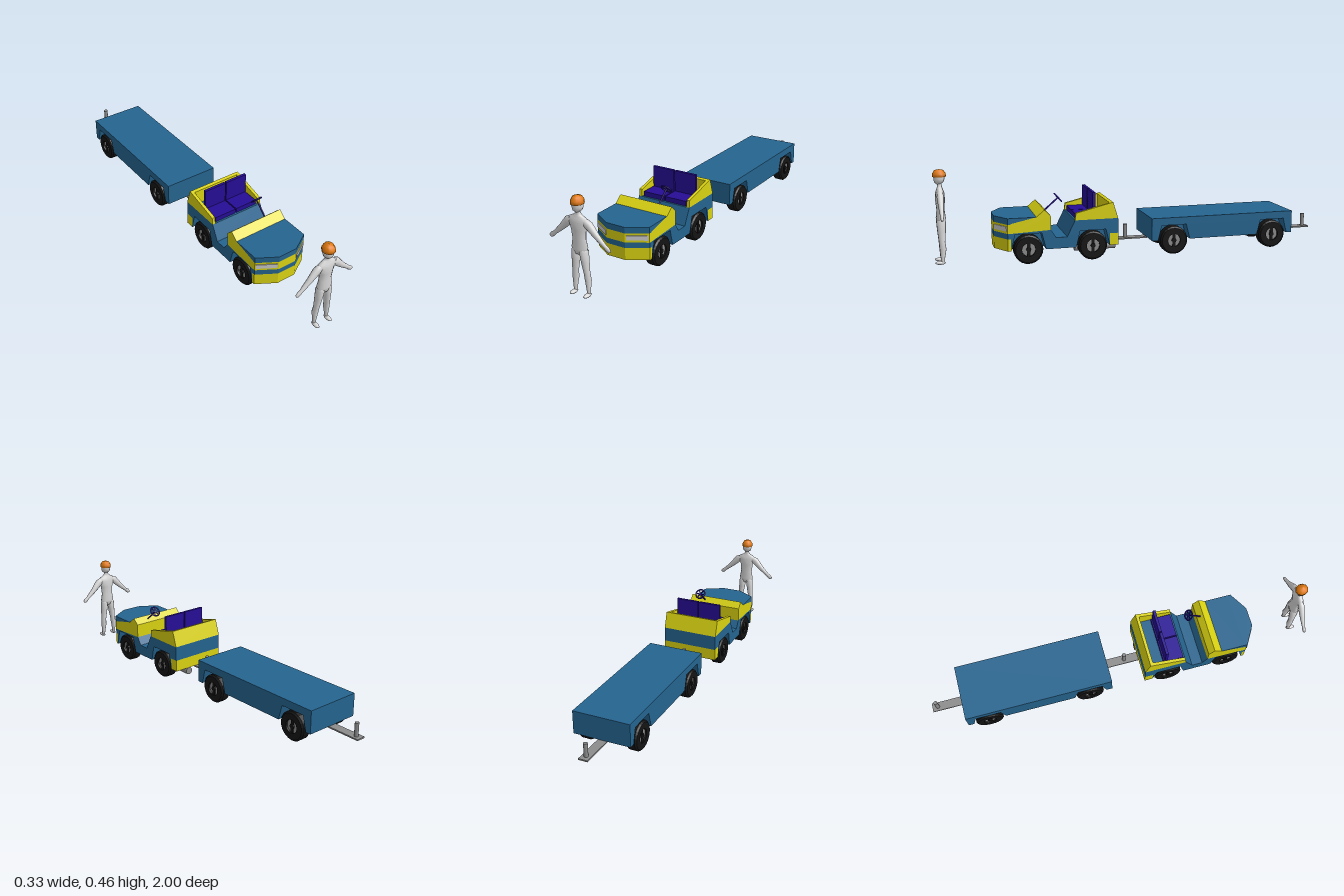
import * as THREE from 'three';

const material = (name, color, extra = {}) => {
  const m = new THREE.MeshStandardMaterial({ color, ...extra });
  m.name = name;
  return m;
};

export function createModel() {
  const model = new THREE.Group();
  model.name = 'towTractorWithTrailer';
  const yellow = material('yellow paint', 0xd9d212);
  const blue = material('blue paint', 0x25648f);
  const purple = material('purple trim', 0x260d96);
  const black = material('black rubber', 0x141414);
  const grey = material('grey metal', 0x8c8c8c);
  const lamp = material('lamp glass', 0xcacaca);
  const skin = material('pale figure', 0xd6d6d6);
  const orange = material('orange cap', 0xe27a10);

  const add = (name, geometry, mat, x = 0, y = 0, z = 0, parent = model) => {
    const mesh = new THREE.Mesh(geometry, mat);
    mesh.name = name;
    mesh.position.set(x, y, z);
    parent.add(mesh);
    return mesh;
  };
  const box = (name, w, h, d, mat, x, y, z, parent) =>
    add(name, new THREE.BoxGeometry(w, h, d), mat, x, y, z, parent);
  const polygon = pts => new THREE.Shape(pts.map(p => new THREE.Vector2(...p)));
  // Side outline given as [z, y], extruded across x
  const slab = (name, pts, width, mat, x = 0) => {
    const g = new THREE.ExtrudeGeometry(polygon(pts), { depth: width, bevelEnabled: false });
    g.translate(0, 0, -width / 2).rotateY(-Math.PI / 2);
    return add(name, g, mat, x);
  };
  // Plan outline given as [x, z], extruded from y0 to y1
  const layer = (name, pts, y0, y1, mat) => {
    const g = new THREE.ExtrudeGeometry(polygon(pts.map(([x, z]) => [x, -z])),
      { depth: y1 - y0, bevelEnabled: false });
    return add(name, g.rotateX(-Math.PI / 2), mat, 0, y0);
  };
  // Wheel arch outline, from front foot to rear foot
  const arch = (z, y) => [[z + 0.085, y], [z + 0.065, 0.152], [z - 0.065, 0.152], [z - 0.085, y]];

  // Tractor: chamfered nose in colour layers
  const W = 0.292, H = W / 2;
  const nose = [[-H, 0.645], [H, 0.645], [H, 0.66], [0.05, 0.717], [-0.05, 0.717], [-H, 0.66]];
  layer('bumper', nose, 0.07, 0.13, yellow);
  layer('noseStripe', nose, 0.13, 0.157, blue);
  layer('grille', nose, 0.157, 0.202, yellow);
  layer('hoodNose', nose, 0.202, 0.232, blue);
  for (const s of [-1, 1]) {
    box('headlight', 0.1, 0.023, 0.006, lamp, s * 0.0985, 0.18, 0.689).rotation.y = s * 0.54;
  }

  // Tractor body
  slab('lowerBody', [
    ...arch(0.56, 0.07), ...arch(0.24, 0.07), [0.155, 0.13], [0.112, 0.13], [0.112, 0.205],
    [0.33, 0.205], [0.37, 0.125], [0.425, 0.125], [0.45, 0.165], [0.645, 0.157],
  ], W, blue);
  slab('underbody', [[0.645, 0.07], [0.645, 0.153], [0.47, 0.153], [0.43, 0.12],
    [0.36, 0.12], [0.3, 0.153], [0.15, 0.153], [0.15, 0.07]], 0.16, blue);
  slab('cowl', [[0.645, 0.157], [0.645, 0.205], [0.52, 0.232], [0.48, 0.265],
    [0.45, 0.235], [0.45, 0.165]], W, yellow);
  slab('hood', [[0.645, 0.205], [0.645, 0.232], [0.52, 0.232]], W, blue);
  slab('rearBumper', [[0.155, 0.07], [0.155, 0.13], [0.112, 0.13], [0.112, 0.07]], W, yellow);

  // Seat tub with sloping sides and back
  for (const s of [-1, 1]) {
    slab('tubSide', [[0.33, 0.205], [0.325, 0.24], [0.137, 0.286], [0.112, 0.205]],
      0.016, yellow, s * (H - 0.008));
  }
  slab('tubBack', [[0.112, 0.205], [0.137, 0.286], [0.153, 0.282], [0.153, 0.205]],
    W - 0.032, yellow);

  // Seats
  for (const s of [-1, 1]) {
    box('seatCushion', 0.12, 0.025, 0.105, purple, s * 0.063, 0.217, 0.268);
    box('seatBack', 0.12, 0.12, 0.014, purple, s * 0.063, 0.276, 0.229);
  }

  // Steering wheel, its axis along the column
  const steering = new THREE.Group();
  steering.name = 'steering';
  steering.position.set(0.063, 0.308, 0.398);
  steering.rotation.x = -0.86;
  model.add(steering);
  add('steeringRim', new THREE.TorusGeometry(0.026, 0.004, 6, 18).rotateX(Math.PI / 2), purple, 0, 0, 0, steering);
  add('steeringColumn', new THREE.CylinderGeometry(0.004, 0.004, 0.105, 8), purple, 0, -0.052, 0, steering);
  for (let i = 0; i < 3; i++) {
    box('steeringSpoke', 0.05, 0.004, 0.005, purple, 0, 0, 0, steering).rotation.y = i * Math.PI / 3;
  }

  // Trailer
  slab('trailerBed', [
    [-0.065, 0.075], ...arch(-0.182, 0.075), ...arch(-0.722, 0.075),
    [-0.835, 0.075], [-0.835, 0.19], [-0.065, 0.19],
  ], W - 0.004, blue);
  box('trailerCore', 0.16, 0.08, 0.74, blue, 0, 0.115, -0.45);

  // Wheels: ring tyre, recessed grey hub, dark bars and cap
  const tyre = new THREE.LatheGeometry([[0.033, -0.027], [0.064, -0.027], [0.072, -0.019],
    [0.072, 0.019], [0.064, 0.027], [0.033, 0.027], [0.033, -0.027]]
    .map(p => new THREE.Vector2(...p)), 24).toNonIndexed().rotateZ(-Math.PI / 2);
  tyre.computeVertexNormals();
  const hub = new THREE.CylinderGeometry(0.034, 0.034, 0.036, 20).rotateZ(Math.PI / 2);
  const cap = new THREE.CylinderGeometry(0.012, 0.012, 0.05, 10).rotateZ(Math.PI / 2);
  for (const [z, x] of [[0.56, 0.119], [0.24, 0.119], [-0.182, 0.121], [-0.722, 0.121]]) {
    for (const s of [-1, 1]) {
      const wheel = new THREE.Group();
      wheel.name = 'wheel';
      wheel.position.set(s * x, 0.072, z);
      model.add(wheel);
      add('tyre', tyre, black, 0, 0, 0, wheel);
      add('hub', hub, grey, 0, 0, 0, wheel);
      add('hubCap', cap, black, 0, 0, 0, wheel);
      box('hubBar', 0.044, 0.066, 0.016, black, 0, 0, 0, wheel);
    }
  }

  // Tow bars, pins and exhaust
  box('towBar', 0.046, 0.007, 0.375, grey, -0.002, 0.067, 0.113);
  box('rearTowBar', 0.046, 0.007, 0.2, grey, -0.002, 0.07, -0.9);
  for (const z of [0.037, -0.972]) {
    add('towPin', new THREE.CylinderGeometry(0.01, 0.01, 0.07, 12), grey, -0.002, 0.105, z);
  }
  add('exhaust', new THREE.CylinderGeometry(0.02, 0.02, 0.21, 10).rotateX(Math.PI / 2), grey, 0.062, 0.052, 0.215);

  // Figure: elliptical rings [x, y, z, radius along u, radius along v]
  const X = new THREE.Vector3(1, 0, 0), Z = new THREE.Vector3(0, 0, 1);
  const loft = (name, rings, u, v, mat, n = 12) => {
    const pos = [], index = [];
    rings.forEach(([x, y, z, ru, rv]) => {
      for (let j = 0; j < n; j++) {
        const a = j / n * Math.PI * 2;
        const p = new THREE.Vector3(x, y, z)
          .addScaledVector(u, Math.cos(a) * ru).addScaledVector(v, Math.sin(a) * rv);
        pos.push(p.x, p.y, p.z);
      }
    });
    for (let i = 0; i < rings.length - 1; i++) {
      for (let j = 0; j < n; j++) {
        const a = i * n + j, b = i * n + (j + 1) % n;
        index.push(a, b, a + n, b, b + n, a + n);
      }
    }
    const g = new THREE.BufferGeometry();
    g.setAttribute('position', new THREE.Float32BufferAttribute(pos, 3));
    g.setIndex(index);
    g.computeVertexNormals();
    return add(name, g, mat);
  };
  const c = 0.963;
  loft('torso', [[0, 0.19, c, 0.001, 0.004], [0, 0.2, c, 0.02, 0.034], [0, 0.225, c, 0.024, 0.041],
    [0, 0.265, c, 0.019, 0.034], [0, 0.31, c, 0.023, 0.038], [0, 0.345, c, 0.023, 0.052],
    [0, 0.363, c, 0.017, 0.046], [0, 0.376, c, 0.012, 0.02], [0, 0.386, c, 0.011, 0.012],
    [0, 0.405, c, 0.012, 0.012]], Z, X, skin);
  loft('head', [[0, 0.388, c + 0.004, 0.006, 0.006], [0, 0.4, c + 0.002, 0.022, 0.022],
    [0, 0.415, c, 0.026, 0.026], [0, 0.435, c, 0.026, 0.026]], Z, X, skin);
  loft('cap', [[0, 0.426, c, 0.02, 0.02], [0, 0.427, c, 0.033, 0.03], [0, 0.442, c, 0.032, 0.029],
    [0, 0.458, c, 0.022, 0.02], [0, 0.463, c, 0.001, 0.001]], Z, X, orange, 10);
  for (const s of [-1, 1]) {
    loft('arm', [[s * 0.035, 0.35, c, 0.018, 0.014], [s * 0.055, 0.337, c, 0.021, 0.017],
      [s * 0.095, 0.296, c, 0.014, 0.013], [s * 0.136, 0.26, c, 0.009, 0.008],
      [s * 0.146, 0.252, c, 0.012, 0.008], [s * 0.158, 0.242, c, 0.009, 0.006],
      [s * 0.161, 0.239, c, 0.001, 0.001]], new THREE.Vector3(0.69, s * 0.72, 0), Z, skin);
    loft('leg', [[s * 0.037, 0.008, c, 0.009, 0.008], [s * 0.036, 0.03, c, 0.01, 0.009],
      [s * 0.034, 0.075, c - 0.003, 0.016, 0.014], [s * 0.031, 0.11, c, 0.015, 0.014],
      [s * 0.025, 0.165, c, 0.02, 0.018], [s * 0.021, 0.21, c, 0.023, 0.02],
      [s * 0.02, 0.225, c, 0.015, 0.014]], Z, X, skin);
    // Feet point forward
    const foot = new THREE.SphereGeometry(1, 12, 8).scale(0.012, 0.009, 0.025);
    add('foot', foot, skin, s * 0.037, 0.009, 0.975);
  }
  return model;
}
